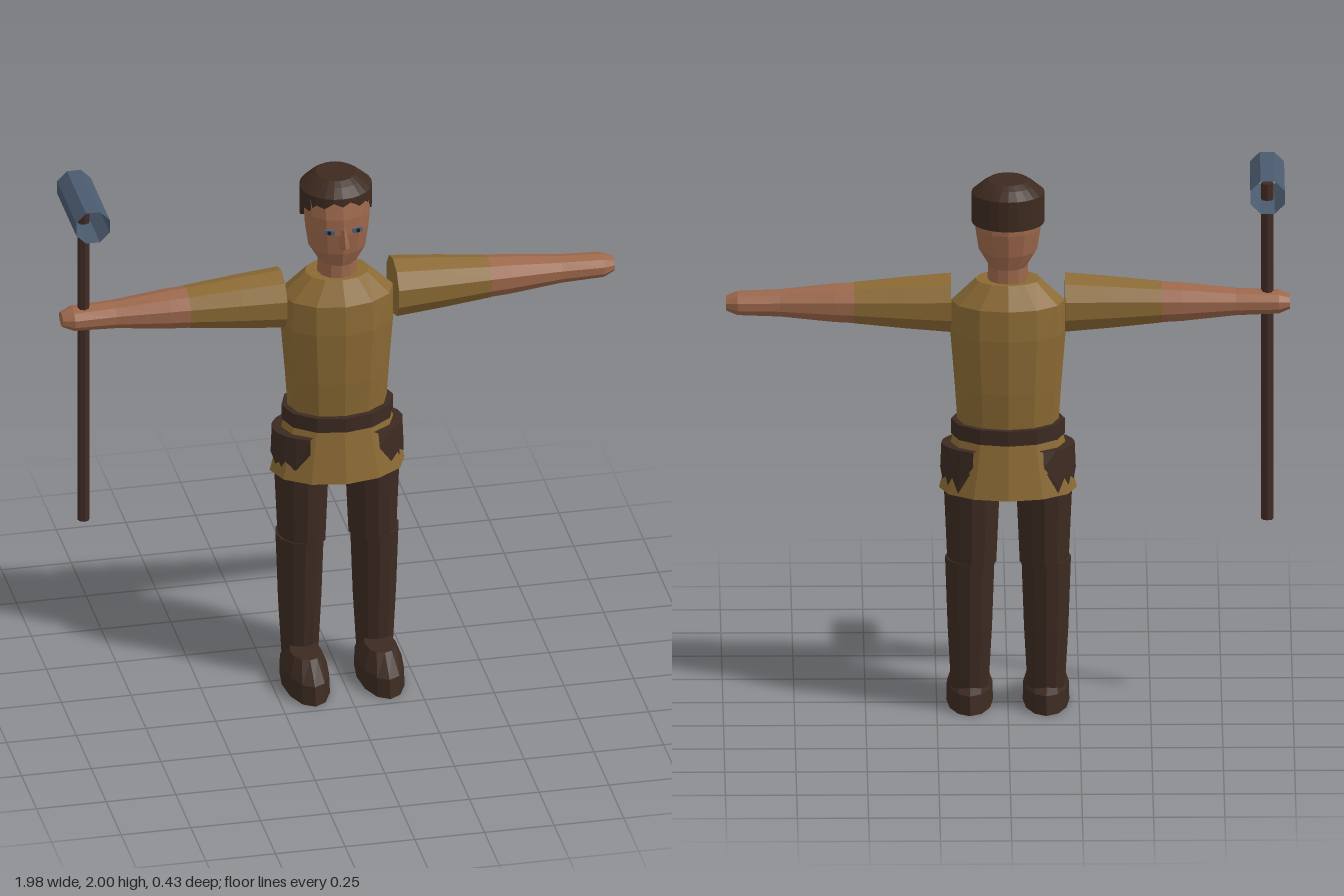
import * as THREE from 'three';

const mat = (name, color) => {
  const m = new THREE.MeshStandardMaterial({ color });
  m.name = name;
  return m;
};

// Flat-shaded skin over elliptical rings, listed upwards: [y, rx, rz, cx, cz].
// y may be a function of column index and angle, for jagged edges.
function loft(rings, { n = 12, start = 0, arc = Math.PI * 2, bottom = true, top = true } = {}) {
  const pos = [];
  const point = (ring, i) => {
    const [y, rx, rz, cx = 0, cz = 0] = ring;
    const a = start + (arc * i) / n;
    return [cx + rx * Math.cos(a), typeof y === 'function' ? y(i, a) : y, cz + rz * Math.sin(a)];
  };
  const centre = (ring) => {
    const [y, , , cx = 0, cz = 0] = ring;
    return [cx, typeof y === 'function' ? y(0, 0) : y, cz];
  };
  for (let i = 0; i < n; i++) {
    for (let j = 0; j < rings.length - 1; j++) {
      const a = point(rings[j], i), b = point(rings[j + 1], i);
      const c = point(rings[j + 1], i + 1), d = point(rings[j], i + 1);
      pos.push(...a, ...b, ...d, ...b, ...c, ...d);
    }
    const lo = rings[0], hi = rings[rings.length - 1];
    if (bottom) pos.push(...centre(lo), ...point(lo, i), ...point(lo, i + 1));
    if (top) pos.push(...centre(hi), ...point(hi, i + 1), ...point(hi, i));
  }
  const g = new THREE.BufferGeometry();
  g.setAttribute('position', new THREE.Float32BufferAttribute(pos, 3));
  g.computeVertexNormals();
  return g;
}

export function createModel() {
  const model = new THREE.Group();
  model.name = 'villager';
  const tunic = mat('tunic cloth', 0x8b6a34);
  const skin = mat('skin', 0x9c674b);
  const leather = mat('dark leather', 0x3c2a21);
  const hairMat = mat('hair', 0x3d2a20);
  const wood = mat('wood', 0x412b24);
  const steel = mat('steel', 0x4b5a6e);
  const eyeMat = mat('eye blue', 0x4a6078);
  const pupilMat = mat('pupil', 0x1c1a1c);
  steel.side = THREE.DoubleSide;
  leather.side = THREE.DoubleSide;

  const add = (name, geometry, material, parent = model) => {
    const mesh = new THREE.Mesh(geometry, material);
    mesh.name = name;
    parent.add(mesh);
    return mesh;
  };
  const Z = -0.05; // depth of the body's axis

  // Body and clothes
  add('torso', loft([
    [1.02, 0.175, 0.125, 0, Z], [1.2, 0.187, 0.142, 0, Z], [1.4, 0.203, 0.151, 0, Z],
    [1.51, 0.2, 0.143, 0, Z], [1.59, 0.115, 0.09, 0, Z],
  ]), tunic);
  add('skirt', loft([[0.815, 0.242, 0.161, 0, Z], [1.03, 0.19, 0.122, 0, Z]]), tunic);
  add('belt', loft([[1.015, 0.2, 0.15, 0, Z], [1.07, 0.2, 0.15, 0, Z]]), leather);

  // Head
  add('neck', loft([[1.56, 0.072, 0.073, 0, Z], [1.67, 0.07, 0.072, 0, Z]]), skin);
  add('head', loft([
    [1.645, 0.07, 0.085, 0, Z], [1.7, 0.103, 0.104, 0, Z], [1.78, 0.115, 0.115, 0, Z],
    [1.84, 0.119, 0.112, 0, Z], [1.9, 0.121, 0.097, 0, Z], [1.93, 0.1, 0.08, 0, Z],
  ]), skin);
  add('nose', loft([
    [1.735, 0.02, 0.02, 0, 0.07], [1.75, 0.018, 0.025, 0, 0.067], [1.805, 0.008, 0.01, 0, 0.06],
  ], { n: 4 }), skin);

  // Hair with a jagged fringe that drops towards the back
  const hairline = (i, a) => {
    const s = Math.sin(a);
    return s < 0.1 ? 1.81 : 1.82 + 0.07 * s + (i % 2 ? 0.02 : 0);
  };
  add('hair', loft([
    [hairline, 0.128, 0.128, 0, -0.072], [1.92, 0.128, 0.126, 0, -0.073],
    [1.95, 0.092, 0.098, 0, -0.075], [1.965, 0.07, 0.074, 0, -0.075],
  ], { n: 24 }), hairMat);

  for (const s of [1, -1]) {
    const side = s > 0 ? 'left' : 'right';

    // Eyes
    const eye = new THREE.Group();
    eye.name = side + 'Eye';
    eye.position.set(s * 0.051, 1.795, 0.056);
    eye.rotation.y = s * 0.25;
    model.add(eye);
    add('iris', new THREE.BoxGeometry(0.036, 0.016, 0.008), eyeMat, eye);
    add('pupil', new THREE.BoxGeometry(0.012, 0.014, 0.004), pupilMat, eye).position.z = 0.004;

    // Arm, lofted upwards and turned sideways
    const arm = new THREE.Group();
    arm.name = side + 'Arm';
    arm.position.set(0, 1.5, Z);
    arm.rotation.z = -s * Math.PI / 2;
    model.add(arm);
    add('sleeve', loft([[0.2, 0.108, 0.112], [0.36, 0.094, 0.098], [0.54, 0.075, 0.08]], { n: 10 }), tunic, arm);
    add('forearm', loft([[0.54, 0.074, 0.079], [0.61, 0.07, 0.074], [0.8, 0.049, 0.055]], { n: 10 }), skin, arm);
    add('hand', loft([[0.8, 0.049, 0.055], [0.95, 0.042, 0.054], [0.99, 0.025, 0.034]], { n: 10 }), skin, arm);

    // Leg, boot shaft and foot
    const x = s * 0.134;
    add(side + 'Thigh', loft([
      [0.54, 0.086, 0.097, s * 0.127, Z], [0.82, 0.098, 0.113, s * 0.127, -0.053],
      [0.9, 0.098, 0.11, s * 0.127, -0.053],
    ]), leather);
    add(side + 'Boot', loft([
      [0.08, 0.066, 0.064, x, -0.047], [0.3, 0.078, 0.082, x, -0.05], [0.56, 0.087, 0.099, x, Z],
    ]), leather);
    add(side + 'Foot', loft([
      [0, 0.082, 0.187, x, 0.032], [0.07, 0.08, 0.177, x, 0.03], [0.135, 0.055, 0.08, x, 0.045],
    ]), leather);

    // Hip pouch wrapped around the skirt, with a toothed lower edge
    const teeth = (i) => (i === 0 || i === 8 ? 0.93 : i % 2 ? 0.86 : 0.89);
    add(side + 'Pouch', loft([
      [teeth, 0.238, 0.158, 0, Z], [0.983, 0.234, 0.144, 0, Z],
    ], { n: 8, start: (s > 0 ? 0 : Math.PI) - 1.02, arc: 2.04, bottom: false }), leather);
  }

  // Hammer: wooden shaft with an open octagonal head
  const hammer = new THREE.Group();
  hammer.name = 'hammer';
  hammer.position.set(-0.91, 0, Z);
  model.add(hammer);
  add('shaft', loft([[0.695, 0.022, 0.022], [1.94, 0.022, 0.022]], { n: 8 }), wood, hammer);
  const headGeometry = loft([[-0.16, 0.065, 0.065], [0.16, 0.065, 0.065]],
    { n: 8, start: Math.PI / 8, bottom: false, top: false });
  headGeometry.rotateX(Math.PI / 2);
  add('hammerHead', headGeometry, steel, hammer).position.set(0, 1.94, 0);

  return model;
}
